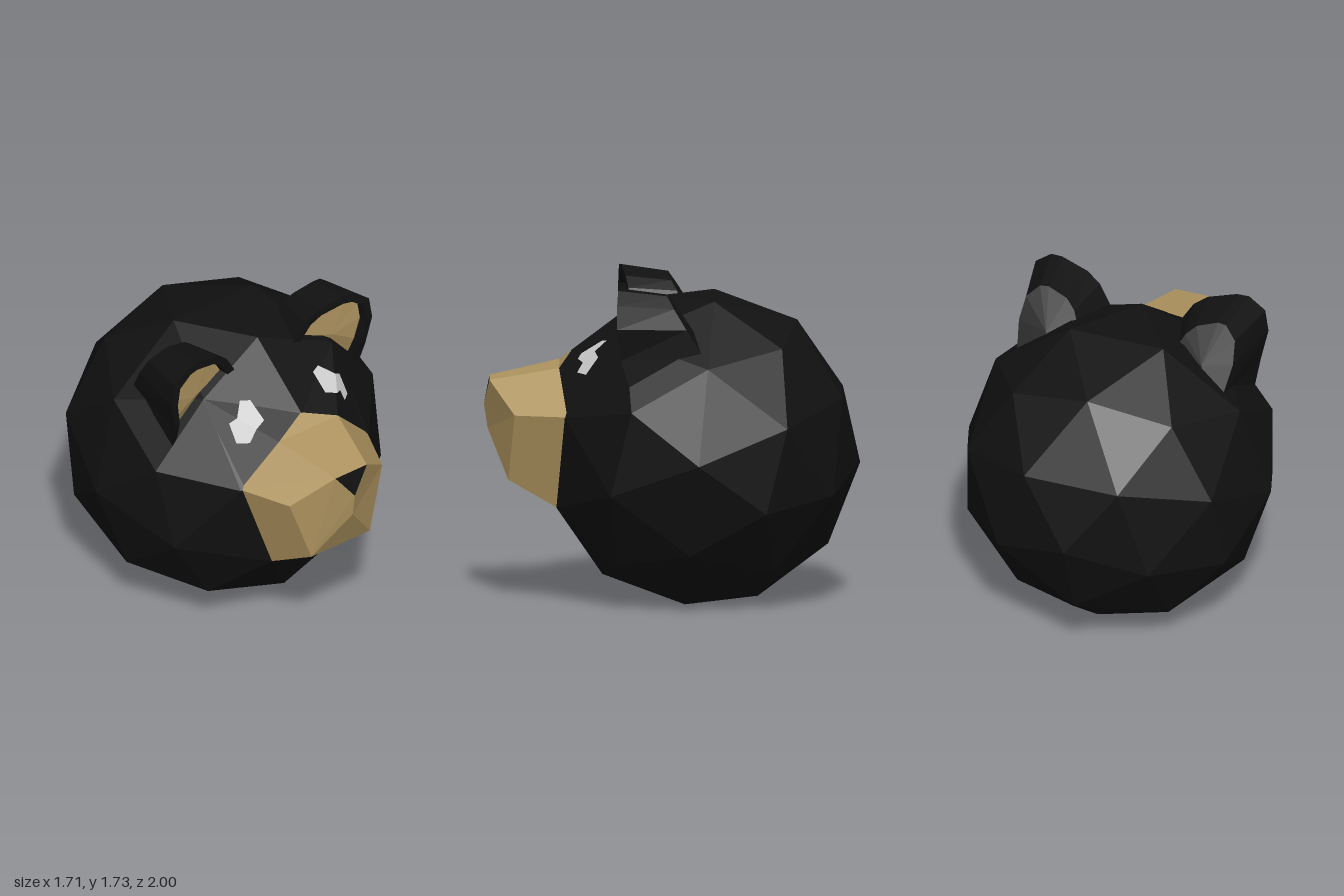
import * as THREE from 'three';

const material = (color) => new THREE.MeshStandardMaterial({ color, flatShading: true, side: THREE.DoubleSide });
const fur = material(0x111111);
const tan = material(0xb09560);
const white = material(0xcccccc);

// Faceted mesh from convex polygons, each fanned from its first corner
function facets(name, mat, polygons) {
  const pos = [];
  for (const p of polygons) {
    for (let i = 1; i < p.length - 1; i++) pos.push(...p[0], ...p[i], ...p[i + 1]);
  }
  const geo = new THREE.BufferGeometry();
  geo.setAttribute('position', new THREE.Float32BufferAttribute(pos, 3));
  geo.computeVertexNormals();
  const mesh = new THREE.Mesh(geo, mat);
  mesh.name = name;
  return mesh;
}

const flip = ([x, y, z]) => [-x, y, z];
const mirror = (polygons) => polygons.map((p) => p.map(flip).reverse());

// Quads between two closed rings
const band = (a, b) => a.map((p, i) => {
  const j = (i + 1) % a.length;
  return [p, b[i], b[j], a[j]];
});
const cap = (ring, center) => ring.map((p, i) => [center, p, ring[(i + 1) % ring.length]]);

// Five-sided snout growing out of the front of the head
function makeMuzzle() {
  const group = new THREE.Group();
  group.name = 'muzzle';
  const bridge = [0, 1.335, 0.535], brow = [0.197, 1.265, 0.6], cheek = [0.425, 1.03, 0.555], jaw = [0.265, 0.527, 0.61];
  const nose = [0.105, 1.19, 0.97], side = [0.31, 1.025, 0.835], chin = [0.195, 0.668, 0.87];
  const noseTip = [0, 1.05, 1], mouth = [0, 0.92, 0.98];
  const temple = [0.428, 1.45, 0.25];

  const half = [
    [brow, nose, side, cheek],
    [cheek, side, chin, jaw],
    [side, nose, noseTip, mouth, chin],
  ];
  const middle = [
    [bridge, flip(brow), brow],
    [flip(brow), flip(nose), nose, brow],
    [mouth, flip(chin), chin],
    [flip(chin), flip(jaw), jaw, chin],
  ];
  const browHalf = [[bridge, brow, temple], [brow, cheek, temple]];
  group.add(
    facets('snout', tan, [...half, ...mirror(half), ...middle]),
    facets('nose', fur, [[flip(nose), noseTip, nose]]),
    facets('brow', fur, [...browHalf, ...mirror(browHalf)]),
  );
  return group;
}

// Bent patch folded over the ridge of the brow
function eyePolygons() {
  const onBrow = ([x, y]) => [x, y, 0.012 + Math.min(
    0.535 - 0.237 * x - 1.59 * (y - 1.335),
    0.6 - 0.939 * (x - 0.197) - 0.719 * (y - 1.265),
  )];
  const foldIn = [0.27, 1.324], foldOut = [0.33, 1.372];
  return [
    [[0.205, 1.345], foldIn, foldOut, [0.262, 1.422], [0.21, 1.415]],
    [[0.31, 1.31], [0.318, 1.257], [0.372, 1.252], [0.37, 1.345], foldOut, foldIn],
  ].map((p) => p.map(onBrow));
}

// Cupped ear: front rim, recessed inner face and a back sloping into the head
function earParts() {
  const rim = [
    [0.62, 1.2, 0.22], [0.637, 1.36, 0.27], [0.67, 1.53, 0.29], [0.65, 1.655, 0.29], [0.56, 1.725, 0.285],
    [0.495, 1.73, 0.275], [0.34, 1.69, 0.25], [0.265, 1.635, 0.235], [0.2, 1.53, 0.22], [0.35, 1.25, 0.18],
  ];
  const inset = (s, dz) => rim.map(([x, y, z]) => [0.46 + (x - 0.46) * s, 1.46 + (y - 1.46) * s, z + dz]);
  const lip = inset(0.82, 0);
  const floor = inset(0.79, -0.05);
  const back = rim.map(([x, y]) => {
    const by = 1.45 + (y - 1.45) * 0.88;
    return [0.44 + (x - 0.44) * 0.72, by, 0.03 - (1.7 - by) * 0.6];
  });
  return {
    shell: [
      ...band(rim, back),
      ...band(lip, rim),
      ...band(floor, lip),
      ...cap([...back].reverse(), [0.44, 1.5, -0.11]),
    ],
    inner: cap(floor, [0.46, 1.46, 0.21]),
  };
}

export function createModel() {
  const model = new THREE.Group();
  model.name = 'bearHead';

  // The whole head is turned very slightly about its centre
  const center = new THREE.Vector3(0, 0.82, -0.145);
  const turn = new THREE.Group();
  turn.name = 'turnedHead';
  turn.position.copy(center);
  turn.rotation.set(0, 0.03, 0.012);
  model.add(turn);
  const parts = new THREE.Group();
  parts.name = 'headParts';
  parts.position.copy(center).negate();
  turn.add(parts);

  // Skull: faceted ball with one five-fold corner facing forward, tipped up a little
  const ball = new THREE.IcosahedronGeometry(0.855, 1);
  ball.rotateX(-Math.atan(2 / (1 + Math.sqrt(5))) - 0.095);
  const skull = new THREE.Mesh(ball, fur);
  skull.name = 'skull';
  skull.position.copy(center);
  parts.add(skull, makeMuzzle());

  // Paired eyes and ears
  const eye = eyePolygons();
  const ear = earParts();
  for (const [side, place] of [['left', (p) => p], ['right', mirror]]) {
    parts.add(
      facets(side + 'Eye', white, place(eye)),
      facets(side + 'EarShell', fur, place(ear.shell)),
      facets(side + 'EarInner', tan, place(ear.inner)),
    );
  }
  return model;
}
